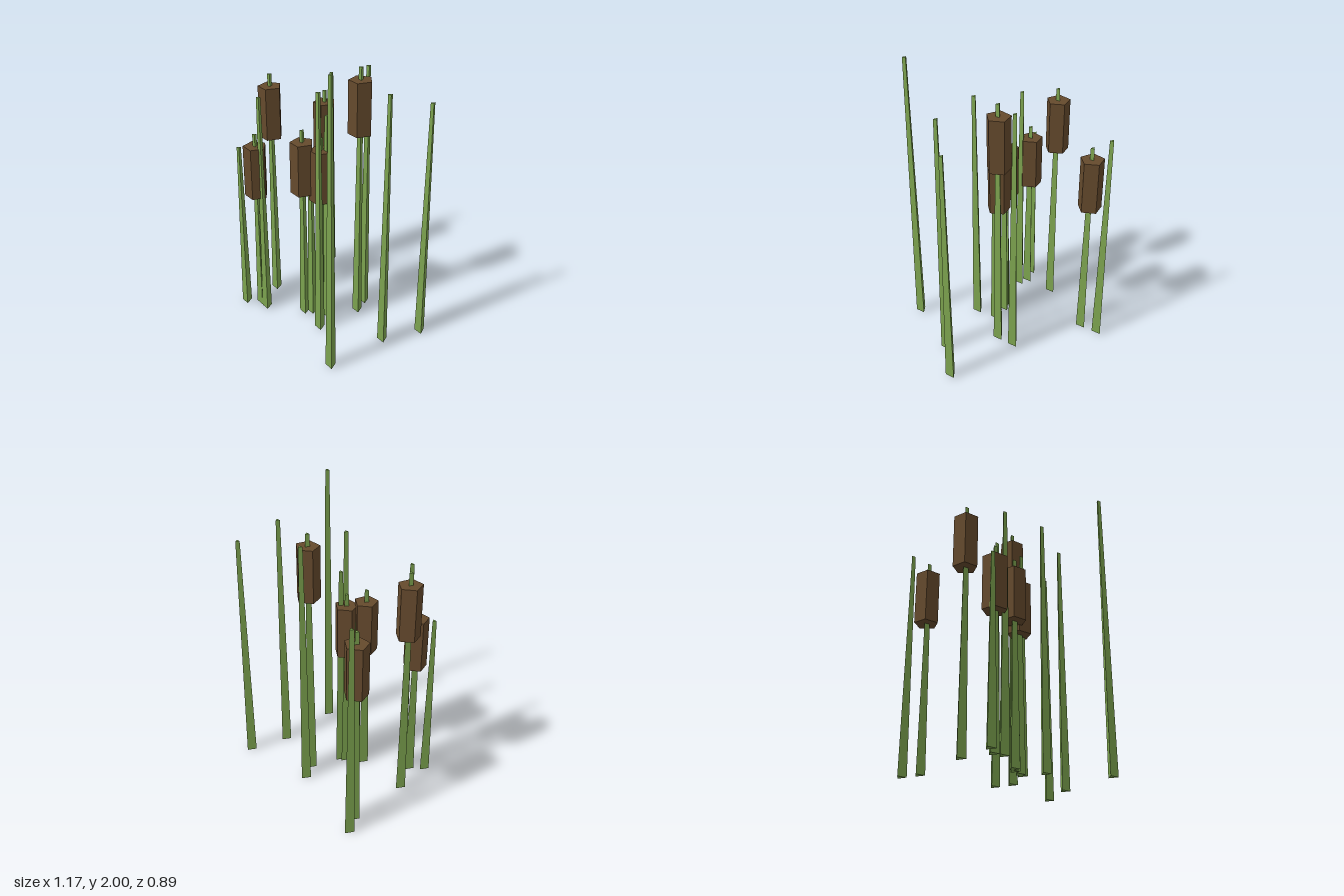
import * as THREE from 'three';

export function createModel() {
  const group = new THREE.Group();
  const green = new THREE.MeshStandardMaterial({ color: 0x7ba24e, flatShading: true });
  green.name = 'reed green';
  const brown = new THREE.MeshStandardMaterial({ color: 0x654a2d, flatShading: true });
  brown.name = 'seed head brown';

  const HEAD_LENGTH = 0.365;
  const TIP_LENGTH = 0.083; // stem left showing above the seed head

  // Tapered three-sided stem, flat side to the front
  function addStem(parent, height) {
    const stem = new THREE.Mesh(new THREE.CylinderGeometry(0.016, 0.038, height, 3), green);
    stem.name = 'stem';
    stem.rotation.y = Math.PI;
    stem.position.y = height / 2;
    parent.add(stem);
  }

  // Five-sided seed head near the top of a stem
  function addHead(parent, height) {
    const head = new THREE.Mesh(new THREE.CylinderGeometry(0.081, 0.081, HEAD_LENGTH, 5), brown);
    head.name = 'seedHead';
    head.rotation.y = Math.PI;
    head.position.y = height - TIP_LENGTH - HEAD_LENGTH / 2;
    parent.add(head);
  }

  // x, z, height of the reeds that carry a seed head
  const cattails = [
    [-0.49, -0.297, 1.46],
    [-0.49, 0.153, 1.68],
    [0.1, -0.146, 1.83],
    [-0.114, 0.163, 1.41],
    [-0.013, 0.084, 1.37],
    [-0.396, 0.346, 1.33],
  ];
  // x, z, height of the bare reeds
  const reeds = [
    [-0.555, -0.406, 1.55],
    [0.041, -0.255, 1.8],
    [0.553, -0.338, 1.69],
    [0.47, -0.07, 1.78],
    [0.02, 0.062, 1.53],
    [0.104, 0.188, 1.74],
    [0.479, 0.375, 2.0],
    [-0.326, 0.347, 1.61],
    [-0.472, 0.425, 1.23],
    [-0.08, 0.12, 1.2],
  ];

  function addPlant(name, [x, z, height], withHead) {
    const plant = new THREE.Group();
    plant.name = name;
    plant.position.set(x, 0, z);
    addStem(plant, height);
    if (withHead) addHead(plant, height);
    group.add(plant);
  }

  cattails.forEach((c, i) => addPlant(`cattail${i + 1}`, c, true));
  reeds.forEach((r, i) => addPlant(`reed${i + 1}`, r, false));
  return group;
}
